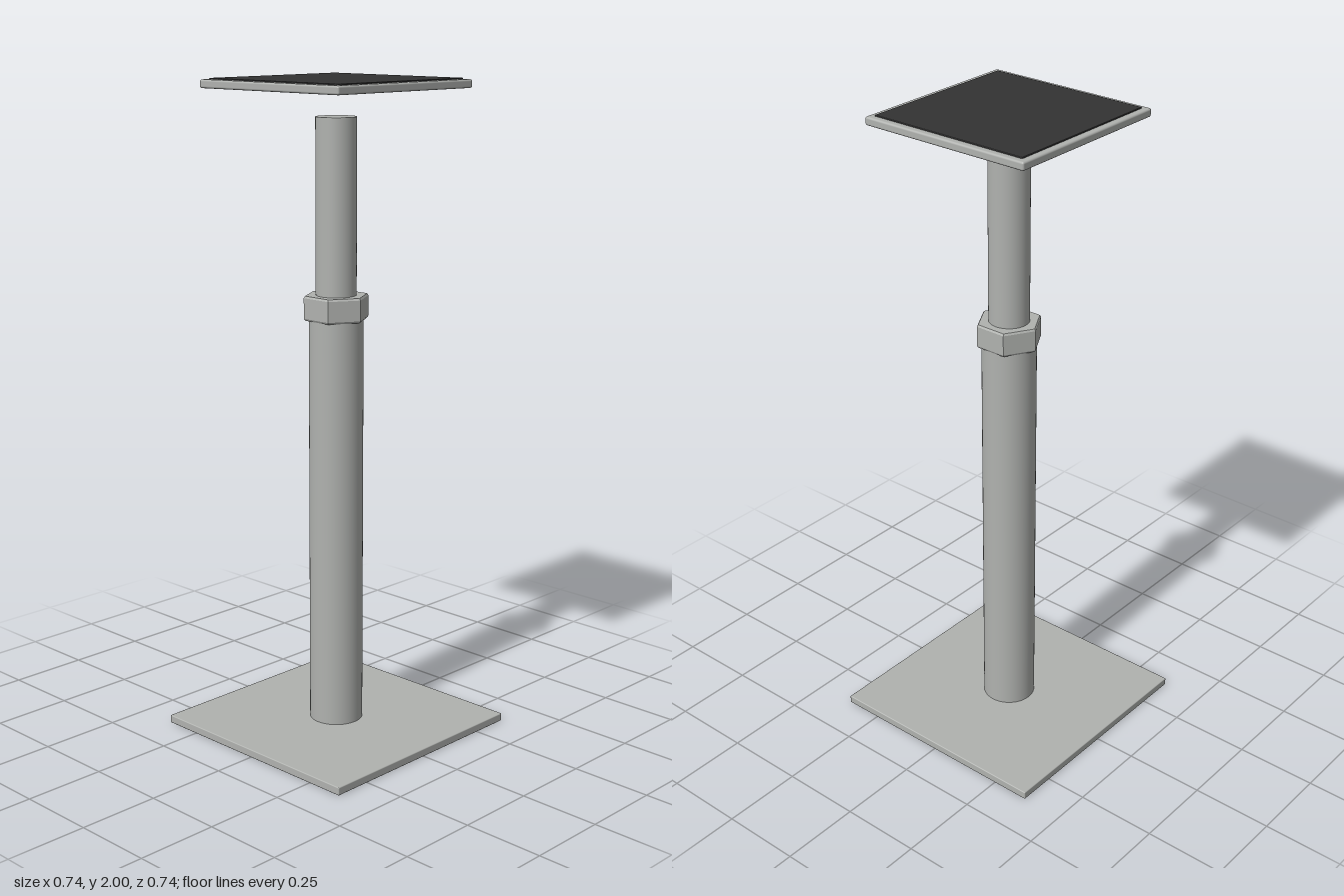
import * as THREE from 'three';
import { RoundedBoxGeometry } from 'three/addons/geometries/RoundedBoxGeometry.js';

const steel = new THREE.MeshStandardMaterial({ color: 0xb0b2af });
steel.name = 'steel grey';
const steelFaceted = steel.clone();
steelFaceted.flatShading = true;
const rubber = new THREE.MeshStandardMaterial({ color: 0x333333 });
rubber.name = 'rubber black';

export function createModel() {
  const group = new THREE.Group();
  group.name = 'adjustablePedestal';

  const add = (name, geometry, material, y = 0) => {
    const mesh = new THREE.Mesh(geometry, material);
    mesh.name = name;
    mesh.position.y = y;
    group.add(mesh);
  };
  // square plate with softened edges, spanning y0..y1
  const plate = (name, size, y0, y1, radius, material) =>
    add(name, new RoundedBoxGeometry(size, y1 - y0, size, 2, radius), material, (y0 + y1) / 2);
  // capped round tube, spanning y0..y1
  const tube = (name, r, y0, y1) =>
    add(name, new THREE.CylinderGeometry(r, r, y1 - y0, 48), steel, (y0 + y1) / 2);

  plate('basePlate', 0.74, 0, 0.025, 0.003, steel);
  tube('outerTube', 0.082, 0.02, 1.3);
  tube('innerTube', 0.061, 1.29, 1.89);

  // hexagonal locking collar with small chamfers, corners along z
  const profile = [[0, 1.292], [0.096, 1.292], [0.1, 1.298], [0.1, 1.36], [0.096, 1.366], [0, 1.366]]
    .map(([r, y]) => new THREE.Vector2(r, y));
  add('lockingCollar', new THREE.LatheGeometry(profile, 6), steelFaceted);

  // support head and its inset pad
  plate('topPlate', 0.56, 1.971, 1.996, 0.006, steel);
  plate('topPad', 0.52, 1.991, 2.0, 0.002, rubber);

  return group;
}
